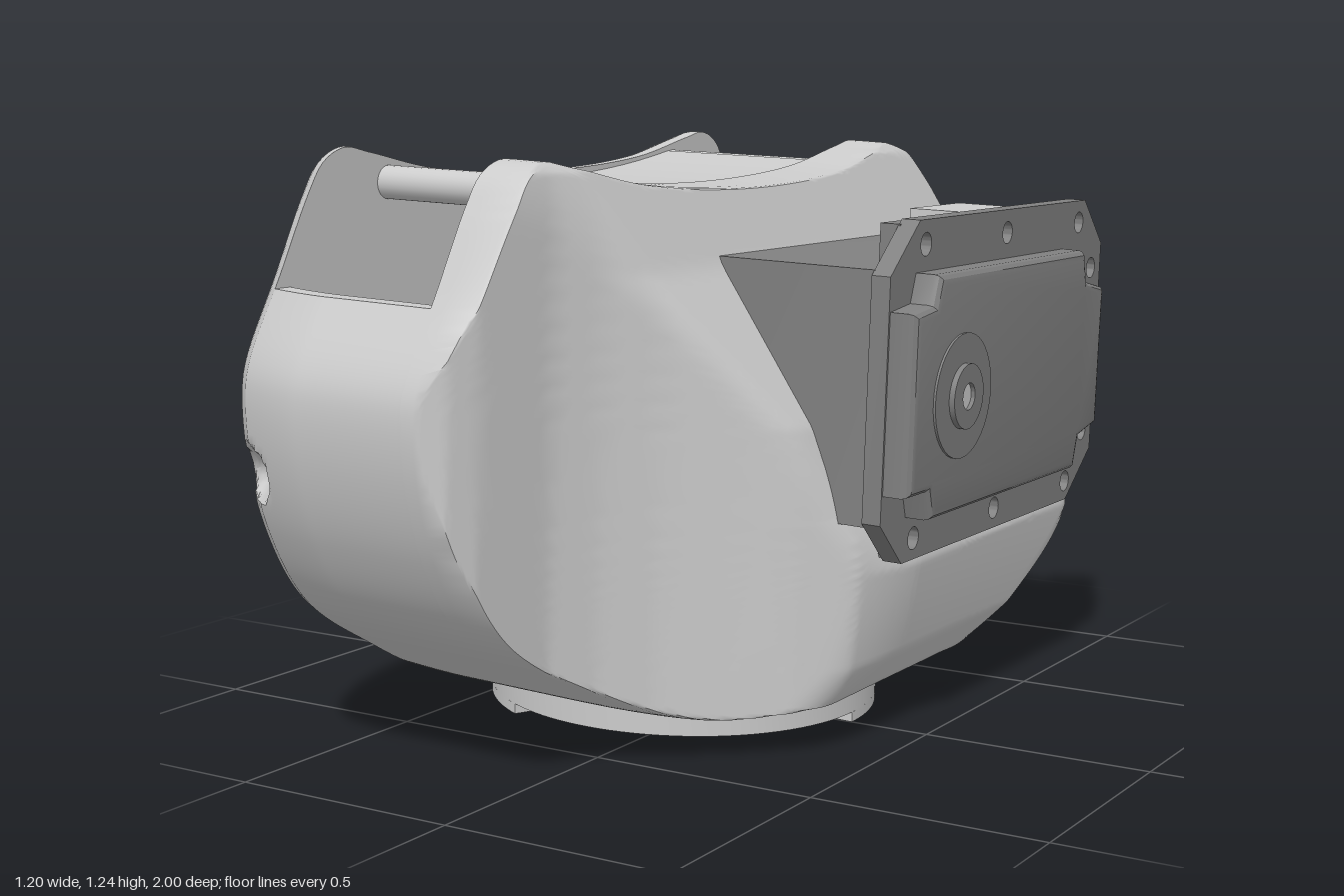
import * as THREE from 'three';
import { toCreasedNormals } from 'three/addons/utils/BufferGeometryUtils.js';

const shellMat = new THREE.MeshStandardMaterial({ color: 0xcccccc, side: THREE.DoubleSide });
const gearMat = new THREE.MeshStandardMaterial({ color: 0x808080 });
const V = (x, y, z) => new THREE.Vector3(x, y, z);
const RING_X = -0.11; // axis of the round base
const WALL_X = -0.525; // inner face of the side wall
const SEAM_X = -0.115; // seam between the trough and the bulged half

// Side outline of the housing, mirrored front to back
const half = [[0.3, 0.085], [0.43, 0.088], [0.62, 0.18], [0.82, 0.31], [0.93, 0.47], [0.985, 0.63], [0.998, 0.76], [0.985, 0.82],
  [0.895, 0.98], [0.81, 1.135], [0.765, 1.195], [0.7, 1.222], [0.62, 1.21], [0.4, 1.17]];
const N = 320;
const outline = new THREE.CatmullRomCurve3([
  V(0, 0.085, 0), ...half.map(([z, y]) => V(0, y, z)),
  V(0, 1.15, 0), ...half.slice().reverse().map(([z, y]) => V(0, y, -z)),
], true, 'centripetal').getSpacedPoints(N).slice(0, N);

// Skins closed rings along +x, leaving a round opening in the bottom
function loft(rings, crease = 0.6) {
  const n = rings[0].length, pos = [];
  const tri = (...t) => {
    const cx = (t[0].x + t[1].x + t[2].x) / 3 - RING_X;
    const cy = (t[0].y + t[1].y + t[2].y) / 3;
    const cz = (t[0].z + t[1].z + t[2].z) / 3;
    if (cy < 0.13 && Math.hypot(cx, cz) < 0.34) return;
    t.forEach((p) => pos.push(p.x, p.y, p.z));
  };
  for (let i = 0; i + 1 < rings.length; i++) {
    for (let j = 0; j < n; j++) {
      const k = (j + 1) % n, a = rings[i], b = rings[i + 1];
      tri(a[j], b[j], b[k]);
      tri(a[j], b[k], a[k]);
    }
  }
  const g = new THREE.BufferGeometry();
  g.setAttribute('position', new THREE.Float32BufferAttribute(pos, 3));
  return toCreasedNormals(g, crease);
}

// Piecewise linear lookup in rows of [position, value]
function lookup(rows, t) {
  if (t <= rows[0][0]) return rows[0][1];
  for (let i = 1; i < rows.length; i++) {
    const [a, va] = rows[i - 1], [b, vb] = rows[i];
    if (t <= b) return va + (vb - va) * (t - a) / (b - a);
  }
  return rows[rows.length - 1][1];
}

// Minimum with a soft blend of width k
function softMin(a, b, k) {
  const h = Math.max(k - Math.abs(a - b), 0) / k;
  return Math.min(a, b) - h * h * k / 4;
}

// Screw pocket pressed into both end faces
function pressPockets(rings) {
  rings.forEach((ring) => ring.forEach((p) => {
    const d = Math.hypot((p.x + 0.535) / 0.06, (p.y - 0.59) / 0.06);
    if (d < 1 && Math.abs(p.z) > 0.7) p.z -= Math.sign(p.z) * 0.06 * (1 - d * d);
  }));
  return rings;
}

const scaled = (x, sz, sy) => outline.map((p) => V(x, 0.2 + (p.y - 0.2) * sy, p.z * sz));

// Flat side wall with a rounded rim
function sideWallGeometry() {
  const sz = [[-0.61, 0.83], [-0.6, 0.88], [-0.57, 0.93], [WALL_X, 0.968]];
  const sy = [[-0.61, 0.94], [-0.6, 0.965], [-0.58, 0.985], [-0.55, 1]];
  const rings = [];
  for (let i = 0; i <= 12; i++) {
    const x = -0.61 + (WALL_X + 0.61) * i / 12;
    rings.push(scaled(x, lookup(sz, x), lookup(sy, x)));
  }
  return loft([scaled(-0.61, 0, 0), scaled(-0.61, 0.8, 0.92), ...pressPockets(rings),
    scaled(WALL_X, 0.88, 0.965), scaled(WALL_X, 0, 0)]);
}

// Trough between the side walls, open at the top
function bellyGeometry() {
  const low = [...outline.slice(N / 2), ...outline.slice(0, N / 2)].filter((p) => p.y < 0.965);
  const section = [...low, ...low.slice().reverse().map((p) => V(0, p.y > 0.2 ? p.y : 0.2 - (0.2 - p.y) * 0.9, p.z * 0.95))];
  const rings = [];
  for (let i = 0; i <= 40; i++) {
    const x = WALL_X + (SEAM_X + 0.002 - WALL_X) * i / 40;
    const bulge = 1 - 0.032 * Math.max(0, 1 - (x - WALL_X) / 0.15) ** 1.5;
    rings.push(section.map((p) => V(x, p.y, p.z * bulge)));
  }
  return loft(pressPockets(rings));
}

// Bulging half: depth limited by the end slopes, the top slope and a rounded edge
function bulgeGeometry() {
  const byZ = [[-1, -0.06], [-0.98, 0.1], [-0.93, 0.29], [-0.87, 0.41], [-0.78, 0.47], [0, 0.48], [0.2, 0.43], [0.3, 0.34],
    [0.4, 0.23], [0.5, 0.13], [0.6, 0.06], [0.7, 0.015], [0.9, -0.01], [0.96, -0.035], [1, -0.08]];
  const byY = [[0.085, 0.365], [0.19, 0.43], [0.39, 0.475], [0.51, 0.4], [0.69, 0.323], [1.0, 0.1], [1.2, 0.01], [1.23, -0.03]];
  const at = (s, f) => outline.map((p) => {
    const y = 0.5 + (p.y - 0.5) * s, z = -0.1 + (p.z + 0.1) * s;
    return V(f(y, z), y, z);
  });
  const flat = (s, x) => at(s, () => x);
  const rings = [flat(0.93, SEAM_X), flat(1, SEAM_X), flat(1, -0.085)];
  const steps = [0.9985, 0.996, 0.993, 0.988, 0.982, 0.975, 0.967, 0.957, 0.945, 0.93, 0.91];
  for (let s = 0.885; s > 0; s -= 0.025) steps.push(s);
  for (const s of [...steps, 0]) {
    rings.push(at(s, (y, z) => softMin(
      softMin(lookup(byZ, z), lookup(byY, y), 0.05), -0.07 + 1.8 * Math.sqrt(1 - s), 0.04)));
  }
  return loft(rings, 0.8);
}

// Plate cut in the side plane (u = -z, v = y), thickened from x0 to x1
function sidePlate(shape, x0, x1, bevel = 0) {
  const g = new THREE.ExtrudeGeometry(shape, {
    depth: x1 - x0 - 2 * bevel, bevelEnabled: bevel > 0, bevelSize: bevel, bevelThickness: bevel,
    bevelOffset: -bevel, bevelSegments: 3, curveSegments: 20,
  });
  return toCreasedNormals(g.rotateY(Math.PI / 2).translate(x0 + bevel, 0, 0), 0.5);
}
const poly = (pts) => new THREE.Shape(pts.map(([u, v]) => new THREE.Vector2(u, v)));
const circle = (u, v, r) => new THREE.Path().absarc(u, v, r, 0, Math.PI * 2, true);

// Ring or arc lying flat between two heights
function flatArc(r0, r1, a0, a1, y0, y1, holes = []) {
  const s = new THREE.Shape();
  s.absarc(0, 0, r1, a0, a1, false);
  if (a1 - a0 > 6.28) { if (r0) s.holes.push(circle(0, 0, r0)); } else s.absarc(0, 0, r0, a1, a0, true);
  s.holes.push(...holes);
  const g = new THREE.ExtrudeGeometry(s, { depth: y1 - y0, bevelEnabled: false, curveSegments: 48 });
  return toCreasedNormals(g.rotateX(-Math.PI / 2).translate(RING_X, y0, 0), 0.5);
}

export function createModel() {
  const model = new THREE.Group();
  const body = new THREE.Group();
  body.name = 'housing';
  body.rotation.z = -0.035;
  model.add(body);
  const add = (name, geo, mat = shellMat) => {
    const m = new THREE.Mesh(geo, mat);
    m.name = name;
    body.add(m);
    return m;
  };

  // Housing shell
  add('sideWall', sideWallGeometry());
  add('belly', bellyGeometry());
  add('bulgedHalf', bulgeGeometry());

  // Curved saddle bridging the two rims, with rolled ends
  const top = [], under = [];
  for (let i = 0; i <= 16; i++) {
    const u = -0.52 + 0.065 * i, y = 1.135 + 0.045 * (u / 0.52) ** 2;
    top.push([u, y]);
    under.unshift([u, y - 0.025]);
  }
  add('saddle', sidePlate(poly([...top, ...under]), WALL_X, -0.1));
  for (const z of [-0.54, 0.54]) {
    const lip = add('saddleLip', new THREE.CylinderGeometry(0.035, 0.035, 0.425, 24));
    lip.rotation.z = Math.PI / 2;
    lip.position.set(-0.313, 1.147, z);
  }

  // Round base with bolt holes, two pads and a recessed socket
  const full = Math.PI * 2;
  const bolts = (list, r, size) => list.map((a) => circle(Math.cos(a) * r, Math.sin(a) * r, size));
  const angles = Array.from({ length: 12 }, (_, i) => (i + 0.5) * full / 12);
  add('baseRing', flatArc(0.3, 0.43, 0, full, 0.035, 0.1, bolts(angles, 0.37, 0.02)));
  for (const a of [0, Math.PI]) {
    add('basePad', flatArc(0.3, 0.43, a, a + 1.13, 0.013, 0.035,
      bolts(angles.filter((t) => t > a + 0.1 && t < a + 1.05), 0.37, 0.02)));
  }
  const liner = add('socketWall', new THREE.CylinderGeometry(0.3, 0.3, 0.15, 64, 1, true));
  liner.position.set(RING_X, 0.165, 0);
  add('socketFloor', flatArc(0, 0.3, 0, full, 0.22, 0.24, bolts([0.4, 2.5, 4.6], 0.19, 0.05)));

  // Gearbox
  add('gearboxBody', sidePlate(poly([[-0.23, 0.5], [0.74, 0.5], [0.74, 1.02], [-0.23, 1.02]]), -0.17, 0.47, 0.02), gearMat);
  const flange = poly([[-0.24, 0.51], [-0.14, 0.415], [0.7, 0.415], [0.83, 0.52], [0.83, 1.01], [0.72, 1.115], [-0.12, 1.115], [-0.24, 1.01]]);
  const screws = [[-0.09, 1.065], [0.3, 1.065], [0.69, 1.065], [0.775, 0.955], [0.775, 0.57], [0.69, 0.46], [0.3, 0.46], [-0.09, 0.46]];
  flange.holes.push(...screws.map(([u, v]) => circle(u, v, 0.024)));
  add('flange', sidePlate(flange, 0.45, 0.492), gearMat);
  for (const [u, v] of screws) {
    const s = poly([[u - 0.045, v - 0.04], [u + 0.045, v - 0.04], [u + 0.045, v + 0.04], [u - 0.045, v + 0.04]]);
    s.holes.push(circle(u, v, 0.024));
    add('screwBlock', sidePlate(s, 0.41, 0.455), gearMat);
  }
  const cover = poly([[-0.235, 0.59], [-0.235, 0.57], [-0.15, 0.57], [-0.13, 0.51], [0.6, 0.51], [0.62, 0.58], [0.72, 0.6],
    [0.72, 0.92], [0.62, 0.94], [0.6, 1.01], [-0.13, 1.01], [-0.15, 0.95], [-0.235, 0.94]]);
  add('cover', sidePlate(cover, 0.47, 0.553, 0.02), gearMat);

  // Output shaft on the cover
  const seat = new THREE.Shape().absarc(-0.02, 0.755, 0.13, 0, full, false);
  add('shaftSeat', sidePlate(seat, 0.54, 0.558), gearMat);
  const collar = new THREE.Shape().absarc(-0.02, 0.755, 0.068, 0, full, false);
  collar.holes.push(circle(-0.02, 0.755, 0.028));
  add('shaftCollar', sidePlate(collar, 0.54, 0.57), gearMat);
  const pin = add('shaftPin', new THREE.CylinderGeometry(0.028, 0.028, 0.03, 24));
  pin.rotation.z = Math.PI / 2;
  pin.position.set(0.546, 0.755, 0.02);

  // Cable connector on top of the gearbox
  const plug = add('connector', new THREE.BoxGeometry(0.23, 0.1, 0.25));
  plug.position.set(0.33, 1.045, -0.505);

  return model;
}
